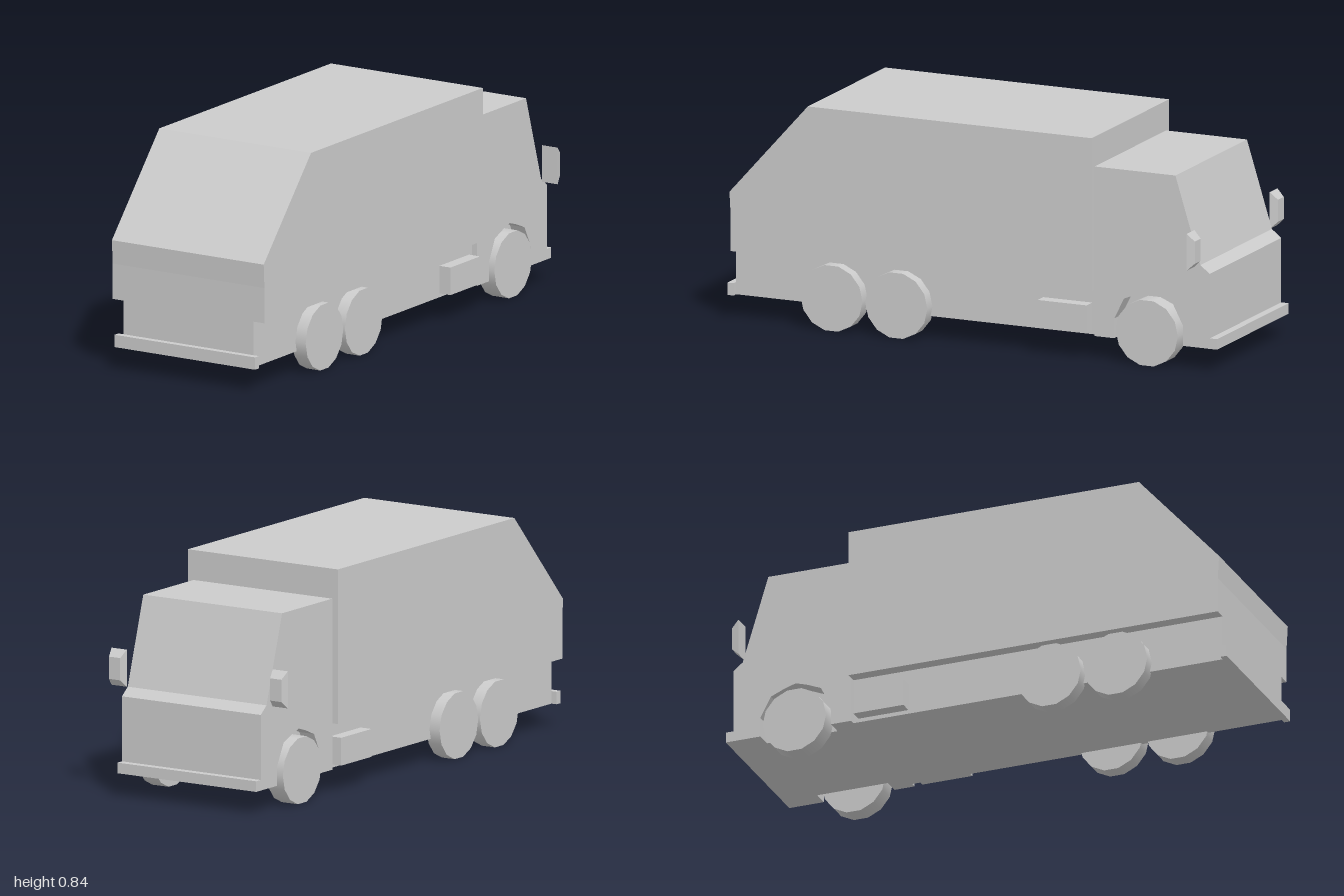
import * as THREE from 'three';

const material = new THREE.MeshStandardMaterial({ color: 0xcccccc });
const smoothless = new THREE.MeshStandardMaterial({ color: 0xcccccc, flatShading: true });

// Extrudes a (z, y) side profile across the width from x0 to x1
function slab(profile, x0, x1) {
  const shape = new THREE.Shape(profile.map(([z, y]) => new THREE.Vector2(z, y)));
  const geometry = new THREE.ExtrudeGeometry(shape, { depth: x1 - x0, bevelEnabled: false });
  return geometry.rotateY(-Math.PI / 2).translate(x1, 0, 0);
}

// Box given by its limits on each axis
function block(x0, x1, y0, y1, z0, z1) {
  return new THREE.BoxGeometry(x1 - x0, y1 - y0, z1 - z0)
    .translate((x0 + x1) / 2, (y0 + y1) / 2, (z0 + z1) / 2);
}

export function createModel() {
  const model = new THREE.Group();
  model.name = 'garbageTruck';
  const add = (name, geometry, mat = smoothless) => {
    const mesh = new THREE.Mesh(geometry, mat);
    mesh.name = name;
    model.add(mesh);
    return mesh;
  };

  // Load body with sloping tail
  add('loadBody', slab([
    [-0.5, 0.265], [0.975, 0.265], [0.975, 0.4], [0.98, 0.49], [0.66, 0.848], [-0.5, 0.848],
  ], -0.335, 0.335));

  // Chassis below the body
  add('chassis', block(-0.287, 0.287, 0.09, 0.265, -0.5, 0.975));

  // Cab: solid core, plus side layers cut out for the wheel arches
  const cabTop = [[-0.5, 0.09], [-0.5, 0.735], [-0.83, 0.735], [-0.932, 0.405], [-0.97, 0.375], [-0.97, 0.09]];
  const arch = [
    [-0.862, 0.09], [-0.862, 0.165], [-0.82, 0.245], [-0.765, 0.268], [-0.72, 0.282],
    [-0.675, 0.268], [-0.62, 0.245], [-0.58, 0.165], [-0.58, 0.09],
  ];
  add('cabCore', slab(cabTop, -0.245, 0.245));
  add('cabSideLeft', slab([...cabTop, ...arch], 0.245, 0.31));
  add('cabSideRight', slab([...cabTop, ...arch], -0.31, -0.245));

  // Bumpers
  add('cabBumper', block(-0.31, 0.31, 0.09, 0.13, -1, -0.97));
  add('tailBumper', block(-0.31, 0.31, 0.09, 0.137, 0.975, 1));

  // Mirror housing tapering away from the glass
  const mirror = new THREE.BoxGeometry(0.068, 0.14, 0.03);
  const p = mirror.attributes.position;
  for (let i = 0; i < p.count; i++) {
    if (p.getZ(i) < 0) p.setXY(i, p.getX(i) * 0.74, p.getY(i) * 0.6);
  }
  mirror.computeVertexNormals();

  // Wheels, tool boxes and mirrors on both sides
  const wheels = [
    ['cabWheel', -0.72, 0.253, 0.325],
    ['middleWheel', 0.3, 0.274, 0.332],
    ['tailWheel', 0.565, 0.274, 0.332],
  ];
  for (const [side, s] of [['Left', 1], ['Right', -1]]) {
    for (const [name, z, inner, outer] of wheels) {
      const tyre = new THREE.CylinderGeometry(0.127, 0.127, outer - inner, 14).rotateZ(Math.PI / 2);
      add(name + side, tyre, material).position.set(s * (inner + outer) / 2, 0.127, z);
    }
    const box = block(-0.03, 0.03, 0.105, 0.21, -0.48, -0.28);
    add('toolBox' + side, box).position.x = s * 0.306;
    add('mirror' + side, mirror).position.set(s * 0.36, 0.47, -0.93);
  }
  return model;
}
